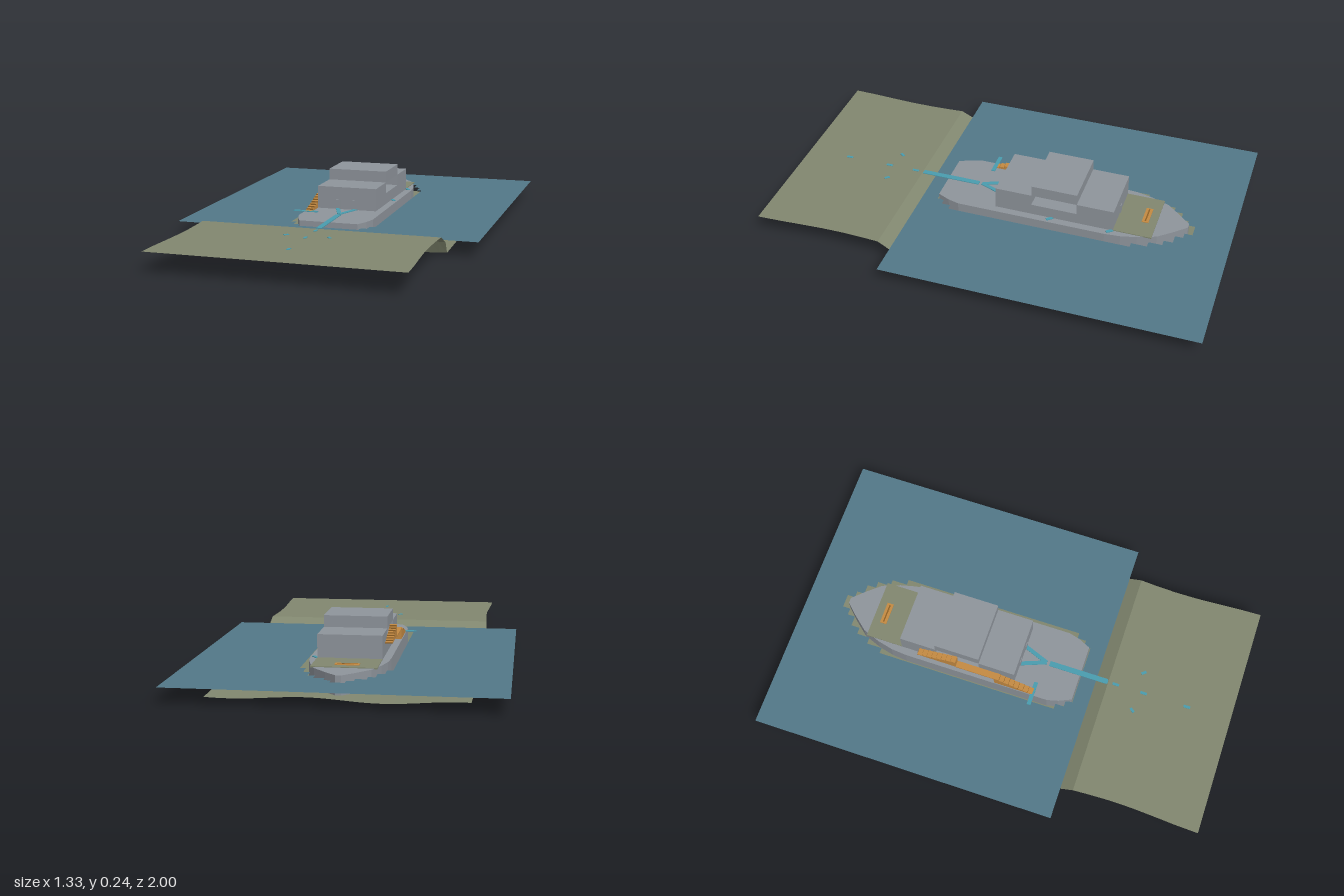
import * as THREE from 'three';

const mat = (name, color, side = THREE.FrontSide) => {
  const m = new THREE.MeshStandardMaterial({ color, side });
  m.name = name;
  return m;
};

export function createModel() {
  const root = new THREE.Group();
  root.name = 'mooredBoat';
  const water = mat('water blue', 0x527888, THREE.DoubleSide);
  const olive = mat('ground olive', 0x81876f, THREE.DoubleSide);
  const grey = mat('boat grey', 0x8e949b);
  const orange = mat('stair orange', 0xc48a42);
  const brown = mat('riser brown', 0x8f6024);
  const teal = mat('path teal', 0x4a9cae);

  const add = (name, geo, material, parent = root) => {
    const mesh = new THREE.Mesh(geo, material);
    mesh.name = name;
    parent.add(mesh);
    return mesh;
  };
  // Box given by its limits on each axis
  const block = (name, material, x0, x1, y0, y1, z0, z1, parent) => {
    const mesh = add(name, new THREE.BoxGeometry(x1 - x0, y1 - y0, z1 - z0), material, parent);
    mesh.position.set((x0 + x1) / 2, (y0 + y1) / 2, (z0 + z1) / 2);
    return mesh;
  };
  // Mirrors a half outline of [x, z] points; shape y is -z so that rotating lays it flat
  const mirrored = (half) => [...half, ...half.slice().reverse().map(([x, z]) => [-x, z])]
    .map(([x, z]) => new THREE.Vector2(x, -z));

  // Water sheet with a stepped opening around the hull
  const sheet = new THREE.Shape(mirrored([[0.665, -1], [0.665, 0.38]]));
  sheet.holes.push(new THREE.Path(mirrored([
    [0.03, -0.83], [0.03, -0.795], [0.06, -0.795], [0.06, -0.76], [0.105, -0.76], [0.105, -0.72],
    [0.135, -0.72], [0.135, -0.66], [0.165, -0.66], [0.165, -0.59], [0.19, -0.59], [0.19, 0.24],
    [0.165, 0.24], [0.165, 0.28], [0.135, 0.28], [0.135, 0.31],
  ])));
  const waterMesh = add('water', new THREE.ShapeGeometry(sheet).rotateX(-Math.PI / 2), water);
  waterMesh.position.y = 0.067;

  // Ground: wavy seabed, two-part bank and level shore, lofted row by row
  const rows = [[-0.86, 0.007], [-0.4, 0.007], [0, 0.007], [0.343, 0.007], [0.368, 0.055], [0.435, 0.09],
    [0.5, 0.09], [0.6, 0.09], [0.7, 0.09], [0.8, 0.09], [0.9, 0.09], [1, 0.09]];
  const ground = new THREE.PlaneGeometry(1, 1, 32, rows.length - 1).rotateX(-Math.PI / 2);
  const gp = ground.attributes.position;
  for (let i = 0; i < gp.count; i++) {
    const [z, y] = rows[Math.floor(i / 33)];
    const u = gp.getX(i);
    const x = u * 1.045 + Math.sign(u) * Math.abs(u) * -0.016 * Math.sin((z - 0.43) * 8);
    const ripple = y < 0.01 ? 0.005 * Math.sin(x * 11 + 0.4) : 0;
    const edge = z < -0.8 ? 0.012 * Math.sin(x * 9) : 0;
    gp.setXYZ(i, x, Math.max(0, y + ripple - 0.002 * (y < 0.01)), z + edge);
  }
  const flatGround = ground.toNonIndexed();
  flatGround.computeVertexNormals();
  add('ground', flatGround, olive);

  // Hull with level deck
  const boat = new THREE.Group();
  boat.name = 'boat';
  root.add(boat);
  const hullShape = new THREE.Shape(mirrored([
    [0.012, -0.805], [0.06, -0.755], [0.115, -0.69], [0.145, -0.61], [0.162, -0.54], [0.168, -0.47],
    [0.168, 0.2], [0.155, 0.25], [0.13, 0.305],
  ]));
  const hull = add('hull', new THREE.ExtrudeGeometry(hullShape, { depth: 0.08, bevelEnabled: false })
    .rotateX(-Math.PI / 2), grey, boat);
  hull.position.y = 0.01;

  // Cabins and raised wheelhouse above the open bridge
  const w = 0.135;
  block('frontCabin', grey, -w, w, 0.085, 0.19, -0.13, 0.035, boat);
  block('bridgeFloor', grey, -w, w, 0.085, 0.14, -0.335, -0.13, boat);
  block('backCabin', grey, -w, w, 0.085, 0.19, -0.5, -0.335, boat);
  block('wheelhouse', grey, -w, w, 0.19, 0.24, -0.335, -0.13, boat);
  for (const s of [-1, 1]) {
    block('frontDoor', grey, s * 0.04 - 0.012, s * 0.04 + 0.012, 0.09, 0.132, 0.035, 0.038, boat);
  }
  block('backDoor', grey, -0.012, 0.012, 0.09, 0.132, -0.503, -0.5, boat);

  // Cargo deck panel with a small hatch
  block('deckPanel', olive, -w, w, 0.088, 0.093, -0.67, -0.5, boat);
  block('hatch', orange, -0.058, 0.042, 0.09, 0.096, -0.635, -0.605, boat);
  block('hatchSlot', brown, -0.05, 0.034, 0.094, 0.097, -0.623, -0.617, boat);

  // Side stairs: solid flights of small steps, joined by a landing
  const flight = (name, zLow, zHigh, yLow, yHigh) => {
    const group = new THREE.Group();
    group.name = name;
    boat.add(group);
    const n = 8;
    const run = (zHigh - zLow) / n;
    for (let i = 0; i < n; i++) {
      const za = zLow + i * run;
      const top = yLow + (yHigh - yLow) * (i + 1) / n;
      block('step', orange, -0.165, -w, yLow, top, Math.min(za, za + run), Math.max(za, za + run), group);
      const out = za - Math.sign(run) * 0.001;
      block('riser', brown, -0.165, -w, top - (yHigh - yLow) / n, top - 0.001,
        Math.min(za, out), Math.max(za, out), group);
    }
  };
  flight('lowerStair', 0.13, -0.05, 0.088, 0.14);
  flight('upperStair', -0.41, -0.23, 0.14, 0.19);
  block('landing', orange, -0.165, -w, 0.134, 0.14, -0.23, -0.05, boat);

  // Flat teal walkway strips between two [x, z] points
  const strip = (name, a, b, width, y) => {
    const dx = b[0] - a[0], dz = b[1] - a[1];
    const mesh = add(name, new THREE.BoxGeometry(width, 0.003, Math.hypot(dx, dz)), teal);
    mesh.position.set((a[0] + b[0]) / 2, y, (a[1] + b[1]) / 2);
    mesh.rotation.y = Math.atan2(dx, dz);
  };
  strip('gangway', [0, 0.16], [0, 0.43], 0.024, 0.092);
  strip('shorePath', [0, 0.43], [0, 0.82], 0.016, 0.0875);
  for (const z of [0.47, 0.6, 0.8]) strip('pathMark', [0, z - 0.015], [0, z + 0.015], 0.012, 0.0905);
  for (const s of [-1, 1]) {
    strip('doorPath', [0, 0.145], [s * 0.042, 0.035], 0.018, 0.0925);
    strip('shoreBranch', [0, 0.46], [s * 0.13, 0.62], 0.012, 0.0875);
    strip('branchMark', [s * 0.085, 0.565], [s * 0.1, 0.583], 0.012, 0.0905);
  }
  strip('sidePlank', [-0.215, 0.13], [-0.105, 0.13], 0.018, 0.093);
  for (const z of [-0.48, -0.21]) strip('sideMark', [0.135, z - 0.02], [0.155, z + 0.005], 0.014, 0.0925);

  return root;
}
